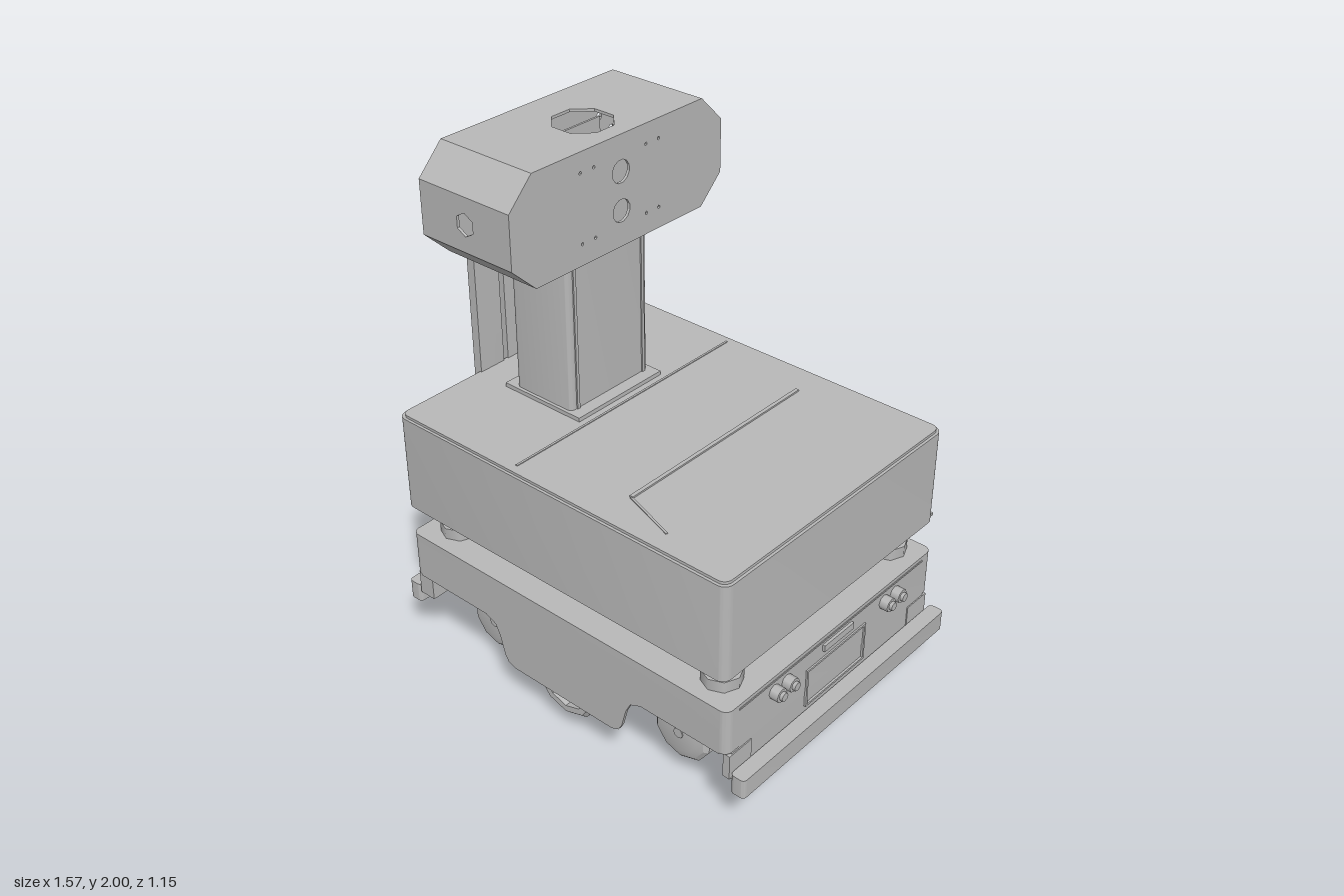
import * as THREE from 'three';
import { toCreasedNormals } from 'three/addons/utils/BufferGeometryUtils.js';

export function createModel() {
  const root = new THREE.Group();
  root.name = 'mobileRobot';
  const grey = new THREE.MeshStandardMaterial({ color: 0xb8b8b8 });
  grey.name = 'paintedGrey';

  const add = (name, geo, parent = root) => {
    const m = new THREE.Mesh(geo, grey);
    m.name = name;
    parent.add(m);
    return m;
  };
  const group = (name) => {
    const g = new THREE.Group();
    g.name = name;
    root.add(g);
    return g;
  };
  // Box given by its limits
  const box = (name, x0, x1, y0, y1, z0, z1, parent) =>
    add(name, new THREE.BoxGeometry(x1 - x0, y1 - y0, z1 - z0)
      .translate((x0 + x1) / 2, (y0 + y1) / 2, (z0 + z1) / 2), parent);
  const polygon = (pts) => new THREE.Shape(pts.map(([x, y]) => new THREE.Vector2(x, y)));
  const ring = (x, y, r, n) => new THREE.Path(Array.from({ length: n }, (_, i) => {
    const a = ((i + 0.5) / n) * Math.PI * 2;
    return new THREE.Vector2(x + r * Math.cos(a), y + r * Math.sin(a));
  }));
  const extrude = (shape, depth) =>
    new THREE.ExtrudeGeometry(shape, { depth, bevelEnabled: false, curveSegments: 6 });
  // Upright block with rounded vertical corners
  const slab = (name, x0, x1, y0, y1, z0, z1, r, parent) => {
    const s = new THREE.Shape();
    s.absarc(x1 - r, -z0 - r, r, 0, Math.PI / 2);
    s.absarc(x0 + r, -z0 - r, r, Math.PI / 2, Math.PI);
    s.absarc(x0 + r, -z1 + r, r, Math.PI, Math.PI * 1.5);
    s.absarc(x1 - r, -z1 + r, r, Math.PI * 1.5, Math.PI * 2);
    const g = extrude(s, y1 - y0).rotateX(-Math.PI / 2).translate(0, y0, 0);
    return add(name, toCreasedNormals(g, 0.6), parent);
  };

  // Upper cabinet with lid seams and rear vents
  const cabinet = group('cabinet');
  slab('cabinetBody', -0.72, 0.715, 0.657, 1.02, -0.562, 0.572, 0.035, cabinet);
  slab('cabinetLid', -0.71, 0.705, 1.02, 1.03, -0.555, 0.562, 0.03, cabinet);
  box('rearLip', -0.7, 0.7, 0.657, 0.667, -0.578, -0.56, cabinet);
  box('lidSeam', -0.196, -0.188, 1.03, 1.033, -0.53, 0.53, cabinet);
  box('lidLedge', 0.198, 0.212, 1.03, 1.036, -0.43, 0.42, cabinet);
  const ledgeEnd = box('lidLedgeEnd', 0, 0.22, 0, 0.003, -0.004, 0.004, cabinet);
  ledgeEnd.position.set(0.205, 1.03, 0.42);
  ledgeEnd.rotation.y = -0.32;
  for (let c = 0; c < 5; c++)
    for (let r = 0; r < 6; r++) {
      const x = -0.525 + c * 0.263, y = 0.71 + r * 0.056;
      box('ventLouver', x - 0.073, x + 0.073, y - 0.008, y + 0.008, -0.572, -0.56, cabinet);
    }

  // Pedestal and tapered mounts between base and cabinet
  box('pedestal', -0.53, 0.53, 0.52, 0.66, -0.38, 0.38);
  for (const sx of [-1, 1])
    for (const z of [-0.46, 0.44]) {
      const mount = group('cabinetMount');
      add('mountFoot', new THREE.CylinderGeometry(0.07, 0.07, 0.045, 8), mount).position.y = 0.55;
      add('mountCone', new THREE.CylinderGeometry(0.026, 0.042, 0.09, 8), mount).position.y = 0.615;
      mount.position.set(sx * 0.6, 0, z);
    }

  // Base: top block, shaped side skirts, end plates
  const base = group('base');
  slab('baseBody', -0.72, 0.72, 0.355, 0.53, -0.56, 0.56, 0.03, base);
  const half = [[0.69, 0.35], [0.36, 0.35], [0.315, 0.33], [0.295, 0.29],
    [0.275, 0.215], [0.26, 0.19], [0.23, 0.177]];
  const skirt = polygon([[-0.69, 0.5], ...half.map(([x, y]) => [-x, y]),
    ...half.slice().reverse(), [0.69, 0.5]]);
  for (const z of [-0.56, 0.548])
    add('sideSkirt', extrude(skirt, 0.012).translate(0, 0, z), base);

  for (const s of [-1, 1]) {
    const end = group(s > 0 ? 'leftEnd' : 'rightEnd');
    const bx = (name, x0, x1, ...rest) =>
      box(name, Math.min(s * x0, s * x1), Math.max(s * x0, s * x1), ...rest, end);
    bx('endPlate', 0.703, 0.718, 0.238, 0.45, -0.53, 0.53);
    const [b0, b1] = s > 0 ? [0.725, 0.782] : [-0.785, -0.728];
    slab('bumper', b0, b1, 0.2, 0.275, -0.58, 0.545, 0.015, end);
    for (const z of [-0.3, 0.3]) bx('bumperBracket', 0.7, 0.73, 0.22, 0.26, z - 0.03, z + 0.03);
    for (const z of [-0.49, 0.49])
      bx('cornerGuard', s > 0 ? 0.695 : 0.655, 0.722, 0.25, 0.345, z - 0.055, z + 0.055);
    // Hatch frame and handle
    for (const y of [0.29, 0.435]) bx('hatchFrame', 0.715, 0.726, y, y + 0.008, -0.17, 0.155);
    for (const z of [-0.17, 0.147]) bx('hatchFrame', 0.715, 0.726, 0.29, 0.443, z, z + 0.008);
    bx('handle', 0.715, 0.73, 0.472, 0.498, -0.09, 0.07);
    bx('trimLine', 0.715, 0.723, 0.51, 0.516, -0.5, 0.5);
    // Sensor knobs
    const knobs = s > 0 ? [-0.34, -0.275, 0.26, 0.325] : [-0.47, -0.41];
    for (const z of knobs) {
      add('sensorKnob', new THREE.CylinderGeometry(0.026, 0.026, 0.04, 8)
        .rotateZ(Math.PI / 2), end).position.set(s * 0.733, 0.47, z);
      add('sensorCap', new THREE.CylinderGeometry(0.016, 0.016, 0.02, 8)
        .rotateZ(Math.PI / 2), end).position.set(s * 0.755, 0.47, z);
    }
  }

  // Inner casters and outer spoked drive wheels
  const turned = (pts) => toCreasedNormals(
    new THREE.LatheGeometry(pts.map(([x, y]) => new THREE.Vector2(x, y)), 10).rotateX(Math.PI / 2), 0.3);
  for (const s of [-1, 1]) {
    for (const x of [-0.435, 0.435]) {
      const caster = group('caster');
      add('casterWheel', turned([[0, -0.034], [0.075, -0.034], [0.105, -0.026], [0.12, -0.012],
        [0.12, 0.012], [0.105, 0.026], [0.075, 0.034], [0, 0.034]]), caster);
      add('casterHub', new THREE.CylinderGeometry(0.02, 0.02, 0.075, 8).rotateX(Math.PI / 2), caster);
      box('casterFork', -0.015, 0.015, -0.02, 0.15, -s * 0.042 - 0.006, -s * 0.042 + 0.006, caster);
      caster.position.set(x, 0.21, s * 0.423);
    }
    const wheel = group('driveWheel');
    add('driveTyre', turned([[0.105, -0.035], [0.13, -0.035], [0.145, -0.02], [0.145, 0.02],
      [0.13, 0.035], [0.105, 0.035], [0.105, -0.035]]), wheel);
    add('driveHub', new THREE.CylinderGeometry(0.045, 0.045, 0.06, 10).rotateX(Math.PI / 2), wheel);
    for (let i = 0; i < 6; i++)
      box('spoke', 0.03, 0.115, -0.014, 0.014, -0.022, 0.022, wheel).rotation.z = i * Math.PI / 3;
    wheel.position.set(0, 0.235, s * 0.51);
  }
  box('undersideHatch', -0.08, 0.08, 0.345, 0.36, -0.04, 0.04);

  // Column with foot flange and corner rails
  const column = group('column');
  slab('columnPost', -0.528, -0.268, 1.03, 1.618, -0.188, 0.198, 0.02, column);
  box('columnFlange', -0.57, -0.22, 1.03, 1.045, -0.2, 0.21, column);
  for (const x of [-0.533, -0.275])
    for (const z of [-0.16, 0.165])
      box('columnRail', x, x + 0.012, 1.045, 1.615, z - 0.006, z + 0.006, column);

  // Hollow eight-sided head with viewing holes
  const head = group('head');
  const outline = [[0.497, 1.71], [0.497, 1.9], [0.397, 2], [-0.383, 2],
    [-0.483, 1.9], [-0.483, 1.71], [-0.383, 1.615], [0.397, 1.615]];
  const leftCheek = polygon(outline), rightCheek = polygon(outline);
  for (const y of [1.74, 1.875]) leftCheek.holes.push(ring(0.008, y, 0.04, 12));
  for (const z of [-0.17, -0.11, 0.13, 0.19])
    for (const y of [1.69, 1.93]) leftCheek.holes.push(ring(z, y, 0.006, 6));
  for (const z of [-0.3, 0.31])
    for (const [dz, dy] of [[-0.06, 0], [0.06, 0], [0, 0.06], [0, -0.06]])
      rightCheek.holes.push(ring(z + dz, 1.8 + dy, 0.014, 8));
  for (const [name, cheek, x] of [['headLeftPlate', leftCheek, -0.198], ['headRightPlate', rightCheek, -0.582]])
    add(name, extrude(cheek, 0.01).rotateY(-Math.PI / 2).translate(x, 0, 0), head);
  const xAxis = new THREE.Vector3(1, 0, 0);
  outline.forEach(([z, y], i) => {
    const [z2, y2] = outline[(i + 1) % 8];
    const dir = new THREE.Vector3(0, y2 - y, z2 - z);
    const h = dir.length() / 2;
    dir.normalize();
    const wall = polygon([[-0.195, -h], [0.195, -h], [0.195, h], [-0.195, h]]);
    if (i === 0 || i === 4) wall.holes.push(ring(0, 0, 0.04, 6));
    if (i === 2) wall.holes.push(ring(0.035, 0, 0.106, 8));
    const place = new THREE.Matrix4().makeBasis(xAxis, dir, xAxis.clone().cross(dir))
      .setPosition(-0.395, (y + y2) / 2, (z + z2) / 2);
    add('headWall', extrude(wall, 0.01).translate(0, 0, -0.01).applyMatrix4(place), head);
  });
  for (const x of [-0.4, -0.28])
    box('headInnerRib', x - 0.004, x + 0.004, 1.63, 1.97, -0.11, 0.11, head);

  // Three cable chains rising outside and bending into the head
  const centre = new THREE.CatmullRomCurve3([[-0.72, 1.6], [-0.72, 1.74], [-0.708, 1.795], [-0.665, 1.818],
    [-0.622, 1.79], [-0.61, 1.72], [-0.6, 1.66], [-0.58, 1.635]]
    .map(([x, y]) => new THREE.Vector3(x, y, 0)));
  const outer = [[-0.737, 0]], inner = [[-0.703, 0]];
  for (let i = 0; i <= 20; i++) {
    const p = centre.getPoint(i / 20), t = centre.getTangent(i / 20);
    outer.push([p.x - t.y * 0.017, p.y + t.x * 0.017]);
    inner.push([p.x + t.y * 0.017, p.y - t.x * 0.017]);
  }
  const chain = polygon([...outer, ...inner.reverse()]);
  for (const [z0, z1] of [[0.09, 0.2], [-0.05, 0.07], [-0.187, -0.07]])
    add('cableChain', toCreasedNormals(extrude(chain, z1 - z0).translate(0, 0, z0), 0.5));

  return root;
}
